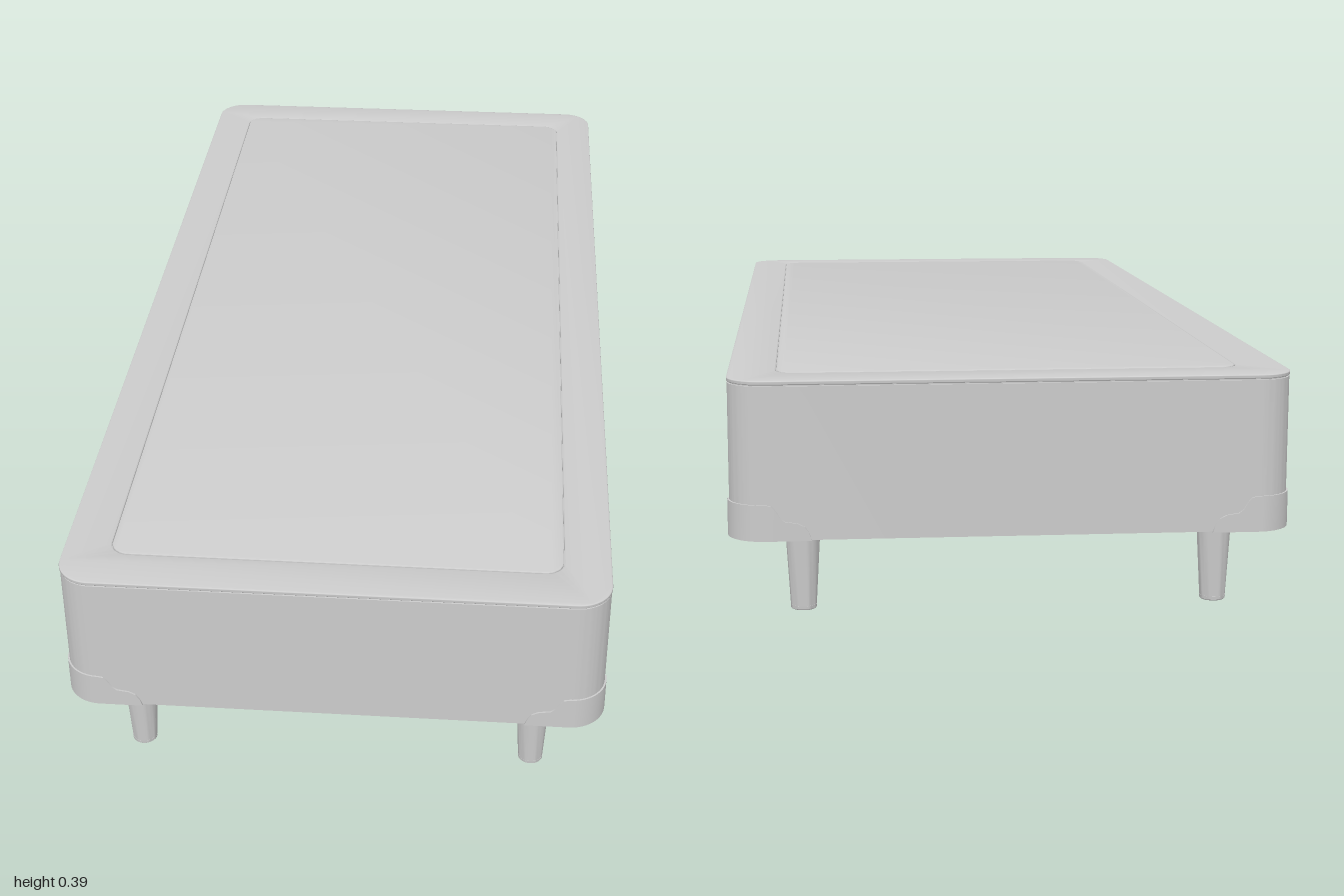
import * as THREE from 'three';
import { toCreasedNormals } from 'three/addons/utils/BufferGeometryUtils.js';

const HALF_W = 0.465, HALF_L = 0.997, RADIUS = 0.06;
const BOTTOM = 0.13, TOP = 0.392;

function roundedRect(target, w, l, r) {
  target.moveTo(w - r, -l);
  target.absarc(w - r, -l + r, r, -Math.PI / 2, 0);
  target.absarc(w - r, l - r, r, 0, Math.PI / 2);
  target.absarc(-w + r, l - r, r, Math.PI / 2, Math.PI);
  target.absarc(-w + r, -l + r, r, Math.PI, Math.PI * 1.5);
  target.closePath();
  return target;
}

// Horizontal rounded slab between two heights, optionally bevelled or with an opening
function slab(w, l, r, y0, y1, bevel = 0, hole = null) {
  const shape = roundedRect(new THREE.Shape(), w - bevel, l - bevel, r - bevel);
  if (hole) shape.holes.push(roundedRect(new THREE.Path(), hole[0], hole[1], hole[2]));
  const geometry = new THREE.ExtrudeGeometry(shape, {
    depth: y1 - y0 - 2 * bevel, curveSegments: 12,
    bevelEnabled: bevel > 0, bevelSize: bevel, bevelThickness: bevel, bevelSegments: 3,
  });
  geometry.rotateX(-Math.PI / 2).translate(0, y0 + bevel, 0);
  return toCreasedNormals(geometry, 0.6);
}

// Guard wrapping one corner, with its arc centre at the origin; the top edge sweeps down at both ends
function cornerGuardGeometry() {
  const edge = [[0.135, 0.001], [0.131, 0.012], [0.124, 0.023], [0.112, 0.029], [0.092, 0.032],
    [0.084, 0.038], [0.077, 0.05], [0.07, 0.058], [0.06, 0.06]];
  const stations = edge.map(([d, h]) => ({ x: RADIUS - d, z: RADIUS, nx: 0, nz: 1, h }));
  for (let i = 1; i < 12; i++) {
    const a = (i / 12) * Math.PI / 2, nx = Math.sin(a), nz = Math.cos(a);
    stations.push({ x: RADIUS * nx, z: RADIUS * nz, nx, nz, h: 0.06 });
  }
  edge.slice().reverse().forEach(([d, h]) => stations.push({ x: RADIUS, z: RADIUS - d, nx: 1, nz: 0, h }));

  const position = [], index = [], out = 0.003, sink = -0.004;
  stations.forEach((s, i) => {
    const section = [[sink, 0], [out, 0], [out, s.h], [sink, s.h]];
    for (const [o, y] of section) position.push(s.x + s.nx * o, y, s.z + s.nz * o);
    if (i === 0) return;
    for (let k = 0; k < 4; k++) {
      const a = (i - 1) * 4 + k, b = i * 4 + k;
      const c = i * 4 + (k + 1) % 4, d = (i - 1) * 4 + (k + 1) % 4;
      index.push(a, b, c, a, c, d);
    }
  });
  const n = (stations.length - 1) * 4;
  index.push(0, 1, 2, 0, 2, 3, n, n + 2, n + 1, n, n + 3, n + 2);
  const geometry = new THREE.BufferGeometry();
  geometry.setAttribute('position', new THREE.Float32BufferAttribute(position, 3));
  geometry.setIndex(index);
  return toCreasedNormals(geometry, 0.5);
}

export function createModel() {
  const model = new THREE.Group();
  model.name = 'bedBase';
  const material = new THREE.MeshStandardMaterial({ color: 0xcccccc });
  const guardMaterial = new THREE.MeshStandardMaterial({ color: 0xcccccc, side: THREE.DoubleSide });

  function add(name, geometry, parent = model, mat = material) {
    const mesh = new THREE.Mesh(geometry, mat);
    mesh.name = name;
    parent.add(mesh);
    return mesh;
  }

  // Upholstered box, recessed seam and piped top border
  add('upholsteredBox', slab(HALF_W, HALF_L, RADIUS, BOTTOM, 0.383));
  add('seam', slab(HALF_W - 0.003, HALF_L - 0.003, RADIUS - 0.003, 0.382, 0.3885));
  add('topBorder', slab(HALF_W + 0.001, HALF_L + 0.001, RADIUS, 0.385, TOP, 0.002, [0.388, 0.918, 0.035]));

  // Centre panel, set apart from the border by a narrow groove
  add('topPanel', slab(0.385, 0.915, 0.032, 0.387, TOP + 0.001, 0.0015));

  // Protective guards at the four lower corners
  const guard = cornerGuardGeometry();
  [[1, 1], [1, -1], [-1, -1], [-1, 1]].forEach(([sx, sz], i) => {
    const mesh = add('cornerGuard', guard, model, guardMaterial);
    mesh.position.set(sx * (HALF_W - RADIUS), BOTTOM - 0.001, sz * (HALF_L - RADIUS));
    mesh.rotation.y = i * Math.PI / 2;
  });

  // Six tapered legs, each with a mounting flange and a foot cap
  const profile = (points) => toCreasedNormals(
    new THREE.LatheGeometry(points.map(([r, y]) => new THREE.Vector2(r, y)), 32), 0.6);
  const legBody = profile([[0, 0.006], [0.0215, 0.006], [0.0285, 0.127], [0, 0.127]]);
  const flange = profile([[0, 0.126], [0.037, 0.126], [0.037, 0.131], [0, 0.131]]);
  const cap = profile([[0, 0], [0.02, 0], [0.0215, 0.0015], [0.022, 0.007], [0, 0.007]]);
  for (const x of [-0.345, 0.345]) {
    for (const z of [-0.935, 0, 0.935]) {
      const leg = new THREE.Group();
      leg.name = 'leg';
      add('legBody', legBody, leg);
      add('legFlange', flange, leg);
      add('footCap', cap, leg);
      leg.position.set(x, 0, z);
      model.add(leg);
    }
  }
  return model;
}
